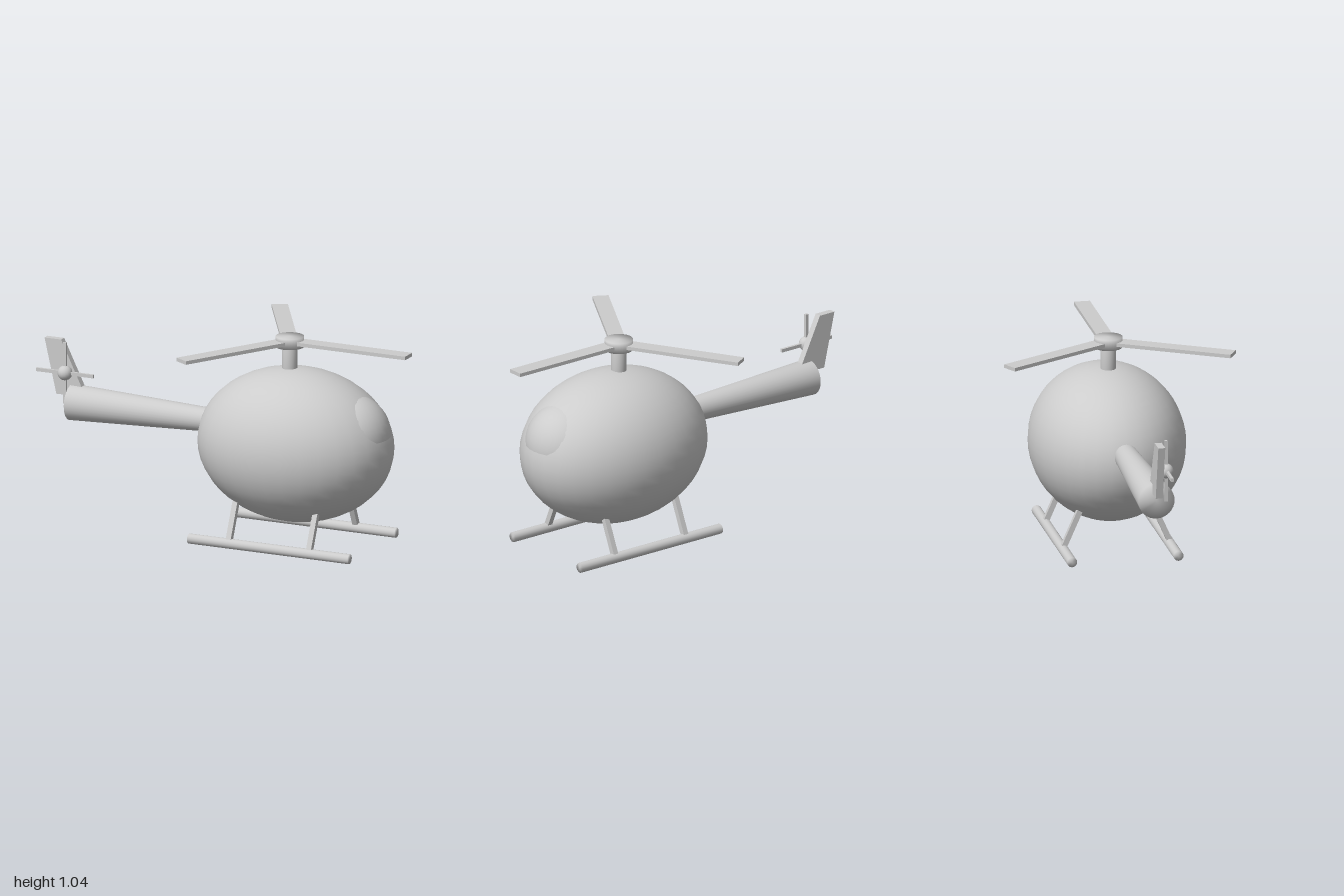
import * as THREE from 'three';
import { mergeVertices } from 'three/addons/utils/BufferGeometryUtils.js';

export function createModel() {
  const model = new THREE.Group();
  const grey = new THREE.MeshStandardMaterial({ color: 0xcccccc });
  grey.name = 'light grey';

  const add = (name, geometry, x, y, z, parent = model) => {
    const mesh = new THREE.Mesh(geometry, grey);
    mesh.name = name;
    mesh.position.set(x, y, z);
    parent.add(mesh);
    return mesh;
  };

  // Cylinder with normals blended softly over the rims
  const softCylinder = (top, bottom, height, sides) => {
    const g = new THREE.CylinderGeometry(top, bottom, height, sides);
    g.deleteAttribute('uv');
    g.deleteAttribute('normal');
    const welded = mergeVertices(g, 1e-4);
    welded.computeVertexNormals();
    return welded;
  };

  // Egg-shaped cabin, nose towards +x
  const cabin = new THREE.SphereGeometry(1, 32, 24);
  cabin.scale(0.503, 0.384, 0.384);
  add('cabin', cabin, 0.388, 0.496, 0);

  // Half-dome canopy standing slightly proud of the nose
  const canopy = new THREE.SphereGeometry(0.207, 32, 12, 0, Math.PI * 2, 0, Math.PI / 2);
  add('canopy', canopy, 0.677, 0.573, 0);

  // Tail boom, widening to the rear
  add('tailBoom', softCylinder(0.09, 0.056, 0.83, 32), -0.415, 0.56, 0).rotation.z = Math.PI / 2;

  // Swept tail fin
  const finShape = new THREE.Shape([
    [-0.97, 0.874], [-0.906, 0.596], [-0.745, 0.596], [-0.88, 0.874],
  ].map(([x, y]) => new THREE.Vector2(x, y)));
  add('tailFin', new THREE.ExtrudeGeometry(finShape, { depth: 0.035, bevelEnabled: false }), 0, 0, -0.02);

  // Tail rotor beside the fin
  const tailRotor = new THREE.Group();
  tailRotor.name = 'tailRotor';
  tailRotor.position.set(-0.845, 0.717, 0.044);
  model.add(tailRotor);
  add('tailRotorHub', new THREE.SphereGeometry(0.037, 16, 12), 0, 0, 0, tailRotor);
  for (const turn of [0, Math.PI / 2]) {
    add('tailRotorBlade', new THREE.BoxGeometry(0.31, 0.017, 0.014), 0, 0, 0, tailRotor).rotation.z = turn;
  }

  // Main rotor: mast, hub and three blades
  add('mast', softCylinder(0.038, 0.038, 0.19, 24), 0.355, 0.905, 0);
  const rotor = new THREE.Group();
  rotor.name = 'mainRotor';
  rotor.position.set(0.355, 1.012, 0);
  model.add(rotor);
  add('rotorHub', softCylinder(0.07, 0.07, 0.053, 32), 0, 0, 0, rotor);
  const blade = new THREE.BoxGeometry(0.645, 0.018, 0.08);
  blade.translate(0.3225, 0, 0);
  for (let i = 0; i < 3; i++) {
    add('rotorBlade', blade, 0, 0, 0, rotor).rotation.y = i * Math.PI * 2 / 3;
  }

  // Landing skids with two splayed struts each
  for (const side of [-1, 1]) {
    add('skid', softCylinder(0.025, 0.025, 0.872, 16), 0.371, 0.025, side * 0.266).rotation.z = Math.PI / 2;
    for (const x of [0.152, 0.588]) {
      const strut = add('skidStrut', new THREE.BoxGeometry(0.027, 0.27, 0.027), x, 0.152, side * 0.215);
      strut.rotation.x = -side * 0.415;
    }
  }
  return model;
}
